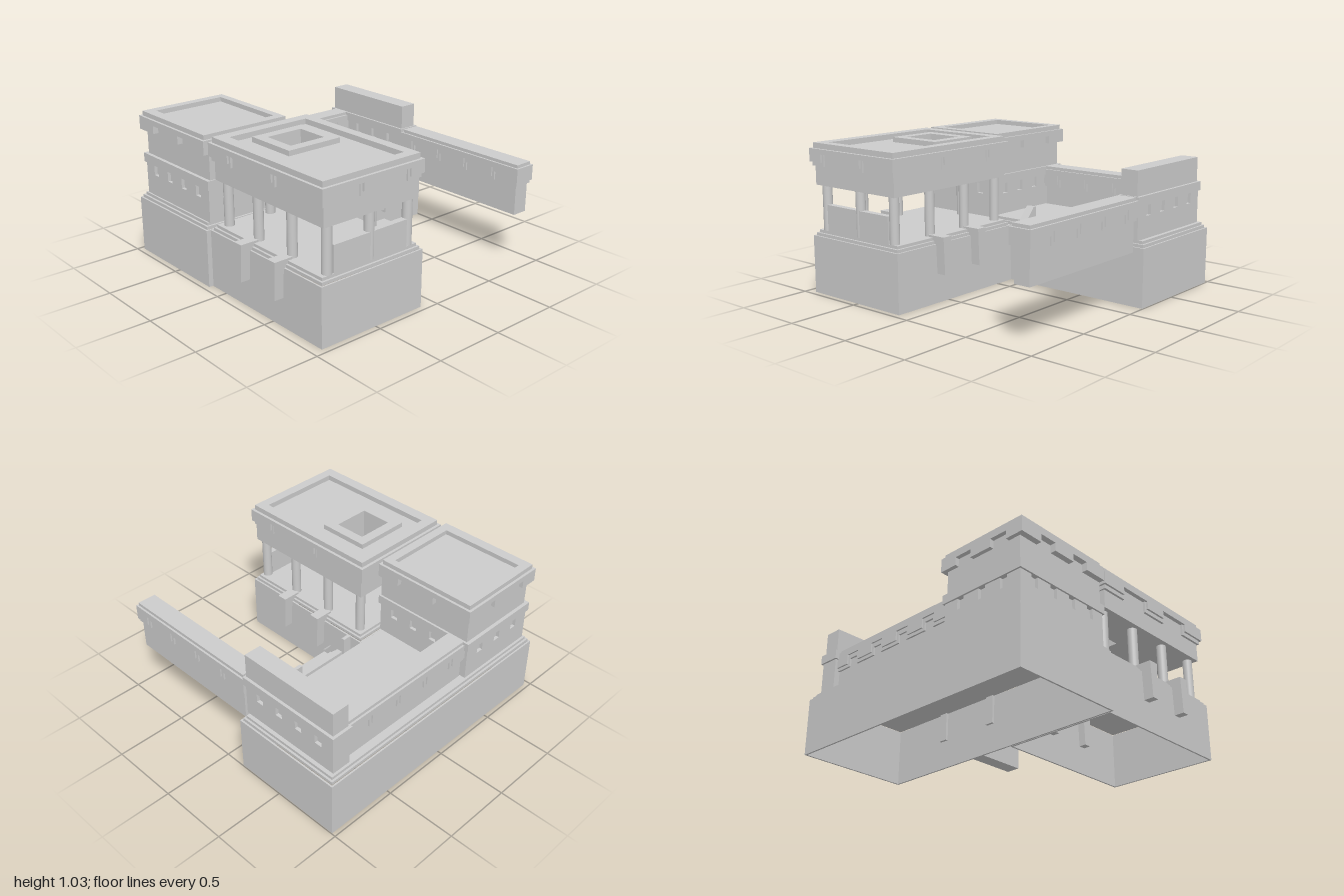
import * as THREE from 'three';

export function createModel() {
  const model = new THREE.Group();
  const mat = new THREE.MeshStandardMaterial({ color: 0xcccccc, flatShading: true, side: THREE.DoubleSide });
  const smooth = new THREE.MeshStandardMaterial({ color: 0xcccccc, side: THREE.DoubleSide });

  function add(name, geo, material = mat) {
    const mesh = new THREE.Mesh(geo, material);
    mesh.name = name;
    model.add(mesh);
    return mesh;
  }
  // Rectangles are [x0, x1, z0, z1]
  const inset = ([a, b, c, d], k) => [a + k, b - k, c + k, d - k];
  function box(name, [x0, x1, z0, z1], y0, y1) {
    return add(name, new THREE.BoxGeometry(x1 - x0, y1 - y0, z1 - z0)
      .translate((x0 + x1) / 2, (y0 + y1) / 2, (z0 + z1) / 2));
  }
  const corners = ([x0, x1, z0, z1]) => [[x0, -z0], [x1, -z0], [x1, -z1], [x0, -z1]].map(p => new THREE.Vector2(...p));
  // Rectangular slab with a rectangular opening
  function ring(name, outer, inner, y0, y1) {
    const shape = new THREE.Shape(corners(outer));
    shape.holes.push(new THREE.Path(corners(inner)));
    const geo = new THREE.ExtrudeGeometry(shape, { depth: y1 - y0, bevelEnabled: false });
    return add(name, geo.rotateX(-Math.PI / 2).translate(0, y0, 0));
  }
  // Solid stretches left between evenly pitched notches
  function solids(a, b, n, pitch, width) {
    const out = [];
    let start = a;
    for (let i = 0; i < n; i++) {
      const c = (a + b) / 2 + (i - (n - 1) / 2) * pitch;
      out.push([start, c - width / 2]);
      start = c + width / 2;
    }
    out.push([start, b]);
    return out;
  }
  // Hanging teeth on all four sides of a rectangle; nx and nz are [count, pitch, width]
  function teeth(name, [x0, x1, z0, z1], y0, y1, nx, nz, d) {
    for (const [a, b] of solids(x0, x1, ...nx)) {
      box(name, [a, b, z0, z0 + d], y0, y1);
      box(name, [a, b, z1 - d, z1], y0, y1);
    }
    for (const [a, b] of solids(z0, z1, ...nz)) {
      box(name, [x0, x0 + d, a, b], y0, y1);
      box(name, [x1 - d, x1, a, b], y0, y1);
    }
  }
  // Hollow plinth with two stepped courses and a floor
  function plinth(name, r) {
    ring(name + 'Walls', r, inset(r, 0.012), 0, 0.4);
    box(name + 'LowerStep', inset(r, 0.015), 0.4, 0.42);
    box(name + 'Floor', inset(r, 0.03), 0.42, 0.44);
  }
  // Wall crowned by a toothed band and a narrow cap
  function crenelWall(name, r, y0, nx, nz) {
    const narrow = n => [n[0], n[1], n[2] - 0.035];
    box(name, inset(r, 0.022), y0, 0.705);
    box(name + 'Band', r, 0.667, 0.708);
    teeth(name + 'Teeth', r, 0.6, 0.667, nx, nz, 0.03);
    box(name + 'InnerBand', inset(r, 0.01), 0.637, 0.667);
    teeth(name + 'InnerTeeth', inset(r, 0.01), 0.578, 0.637, narrow(nx), narrow(nz), 0.02);
    box(name + 'Cap', inset(r, 0.014), 0.708, 0.73);
  }

  plinth('mainPlinth', [-0.96, 0.995, -0.97, -0.15]);
  plinth('pavilionPlinth', [-0.93, -0.11, -0.145, 0.96]);

  // Courtyard walls and the long side wing
  crenelWall('backWall', [-0.3, 0.83, -0.905, -0.75], 0.44, [4, 0.25, 0.11], [0, 0, 0]);
  crenelWall('wingWall', [0.79, 0.95, -0.15, 0.95], 0.37, [0, 0, 0], [4, 0.255, 0.11]);

  // Banded lower storey shared by the corner tower and the corner wall
  function bandedStorey(name, r, nx, nz) {
    box(name + 'Core', inset(r, 0.035), 0.44, 0.735);
    box(name + 'Base', inset(r, 0.012), 0.44, 0.59);
    teeth(name + 'Blocks', inset(r, 0.012), 0.59, 0.667, nx, nz, 0.03);
    box(name + 'Band', r, 0.667, 0.73);
  }
  bandedStorey('cornerWall', [0.79, 0.95, -0.935, -0.15], [0, 0, 0], [4, 0.17, 0.055]);
  box('cornerWallTop', [0.805, 0.93, -0.915, -0.16], 0.73, 0.9);
  bandedStorey('tower', [-0.93, -0.275, -0.935, -0.155], [3, 0.18, 0.055], [4, 0.17, 0.055]);
  box('towerUpperStorey', [-0.905, -0.29, -0.91, -0.165], 0.73, 0.96);

  // Tower roof with a sunken deck
  const towerRoof = [-0.945, -0.255, -0.938, -0.165];
  box('towerCornice', towerRoof, 0.962, 1.0);
  teeth('towerCorniceTeeth', towerRoof, 0.905, 0.962, [2, 0.3, 0.13], [2, 0.3, 0.13], 0.045);
  ring('towerParapet', inset(towerRoof, 0.018), [-0.855, -0.325, -0.86, -0.245], 1.0, 1.032);

  // Pavilion columns
  for (const z of [0.9, 0.585, 0.255, -0.06]) {
    for (const x of [-0.84, -0.51, -0.195]) {
      if (x === -0.51 && z !== 0.9 && z !== -0.06) continue;
      add('column', new THREE.CylinderGeometry(0.033, 0.033, 0.32, 20)
        .translate(x, 0.6, z), smooth);
    }
  }
  box('frontParapet', [-0.81, -0.225, 0.885, 0.93], 0.44, 0.62);

  // Pavilion roof: ceiling block, toothed cornice, parapet and open skylight
  const roof = [-0.93, -0.125, -0.135, 0.97];
  const body = [-0.9, -0.145, -0.11, 0.945];
  const skylight = [-0.645, -0.38, 0.11, 0.34];
  ring('roofBlock', body, skylight, 0.75, 0.985);
  ring('roofCornice', roof, skylight, 0.963, 0.998);
  teeth('roofCorniceTeeth', roof, 0.908, 0.963, [2, 0.38, 0.2], [2, 0.44, 0.26], 0.035);
  teeth('roofInnerTeeth', inset(roof, 0.014), 0.88, 0.963, [2, 0.38, 0.17], [2, 0.44, 0.23], 0.025);
  ring('roofParapet', inset(roof, 0.02), [-0.83, -0.215, -0.04, 0.88], 0.998, 1.035);
  ring('skylightFrame', [-0.715, -0.31, 0.04, 0.41], skylight, 0.998, 1.033);

  // Tapered brackets on both sides of the pavilion plinth
  const bracketShape = new THREE.Shape([[-0.026, 0.2], [0.026, 0.2], [0.037, 0.455], [-0.037, 0.455]]
    .map(p => new THREE.Vector2(...p)));
  for (const z of [0.245, 0.58]) {
    for (const x of [-1.0, -0.175]) {
      const geo = new THREE.ExtrudeGeometry(bracketShape, { depth: 0.135, bevelEnabled: false });
      add('bracket', geo.rotateY(Math.PI / 2).translate(x, 0, z));
    }
  }

  // Courtyard stair between sloping cheeks
  const steps = [[-0.115, 0.44], [-0.085, 0.41], [-0.05, 0.38], [0.012, 0.348]];
  steps.forEach(([z, y]) => box('stairStep', [0.08, 0.49, -0.16, z], 0.22, y));
  const cheek = new THREE.Shape([[0.18, 0.2], [0.18, 0.555], [0.155, 0.555], [0, 0.37], [-0.022, 0.36], [-0.022, 0.2]]
    .map(p => new THREE.Vector2(...p)));
  for (const x of [0.025, 0.475]) {
    const geo = new THREE.ExtrudeGeometry(cheek, { depth: 0.062, bevelEnabled: false });
    add('stairCheek', geo.rotateY(Math.PI / 2).translate(x, 0, 0));
  }

  return model;
}
